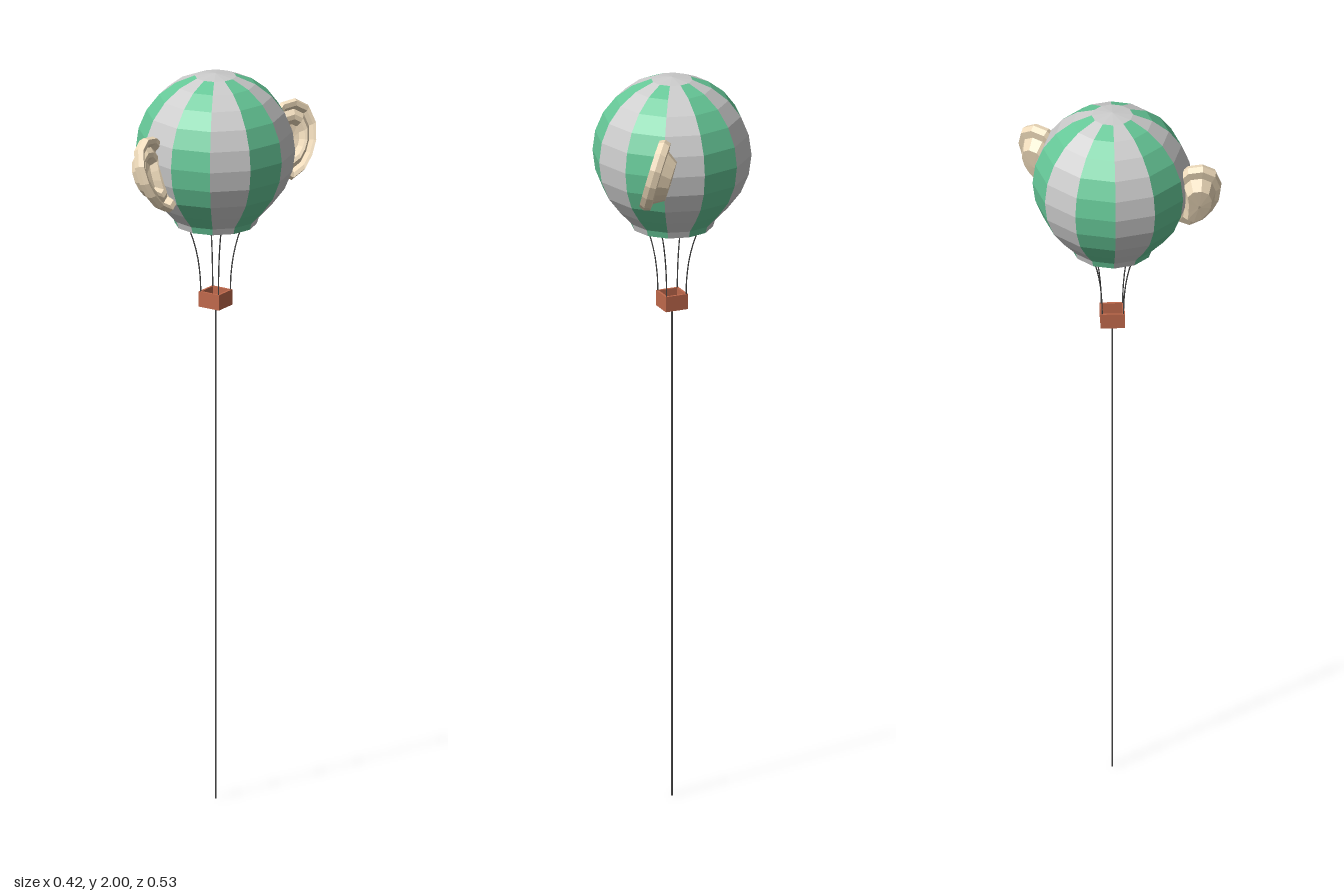
import * as THREE from 'three';
import { mergeGeometries } from 'three/addons/utils/BufferGeometryUtils.js';

const V2 = (x, y) => new THREE.Vector2(x, y);
const material = (color, extra = {}) =>
  new THREE.MeshStandardMaterial({ color, flatShading: true, ...extra });

function addMesh(parent, name, geometry, mat) {
  const mesh = new THREE.Mesh(geometry, mat);
  mesh.name = name;
  parent.add(mesh);
  return mesh;
}

// Ear outline (outward, up), anticlockwise
const EAR = [[0.06, 0.04], [0.045, 0.085], [0.01, 0.106], [-0.03, 0.1], [-0.055, 0.07], [-0.05, 0.02],
  [-0.05, -0.04], [-0.055, -0.09], [-0.025, -0.106], [0.012, -0.085], [0.038, -0.05], [0.055, -0.01]];

// Rings from the back of the ear, over the curled rim, into the hollow: [scale, depth]
const EAR_RINGS = [[0.05, -0.046], [0.55, -0.044], [0.74, -0.016], [0.95, -0.014], [1, 0.002], [0.94, 0.016],
  [0.82, 0.013], [0.74, -0.006], [0.6, 0.003], [0.48, 0.0], [0.36, -0.022], [0.02, -0.026]];

function earGeometry(mirror) {
  const outline = mirror ? EAR.map(([x, y]) => [-x, y]).reverse() : EAR;
  const n = outline.length;
  const positions = [];
  const index = [];
  EAR_RINGS.forEach(([s, depth], r) => {
    outline.forEach(([x, y], i) => {
      positions.push(x * s, y * s, depth);
      if (r === 0) return;
      const j = (i + 1) % n;
      const a = (r - 1) * n + i, b = (r - 1) * n + j, c = r * n + j, d = r * n + i;
      index.push(a, b, c, a, c, d);
    });
  });
  const geometry = new THREE.BufferGeometry();
  geometry.setAttribute('position', new THREE.Float32BufferAttribute(positions, 3));
  geometry.setIndex(index);
  geometry.computeVertexNormals();
  return geometry;
}

export function createModel() {
  const model = new THREE.Group();
  model.name = 'balloonWithEars';
  const balloon = new THREE.Group();
  balloon.name = 'balloon';
  balloon.position.z = -0.025;
  model.add(balloon);

  const grey = material(0xcccccc, { side: THREE.DoubleSide });
  const green = material(0x66c898, { side: THREE.DoubleSide });
  const brown = material(0xc0694c);
  const dark = material(0x444444);
  const skin = material(0xf0dcbc, { side: THREE.DoubleSide });

  // Envelope: twelve striped gores, open at the mouth, with a plain cap
  const R = 0.21, centreY = 1.79;
  const ring = (degrees) => {
    const a = THREE.MathUtils.degToRad(degrees);
    return V2(R * Math.sin(a), centreY + R * Math.cos(a));
  };
  const profile = [V2(0.108, 1.587), V2(0.114, 1.605)];
  for (let d = 135; d >= 15; d -= 15) profile.push(ring(d));
  const stripes = [[], []];
  for (let i = 0; i < 12; i++) {
    stripes[i % 2].push(new THREE.LatheGeometry(profile, 1, (i * Math.PI) / 6, Math.PI / 6));
  }
  addMesh(balloon, 'greenStripes', mergeGeometries(stripes[0]), green);
  addMesh(balloon, 'greyStripes', mergeGeometries(stripes[1]), grey);
  addMesh(balloon, 'topCap', new THREE.LatheGeometry([ring(15), V2(0, 2)], 12), grey);

  // Basket: floor and four walls
  const basket = new THREE.Group();
  basket.name = 'basket';
  basket.position.y = 1.38;
  balloon.add(basket);
  const floor = addMesh(basket, 'basketFloor', new THREE.BoxGeometry(0.062, 0.006, 0.062), brown);
  floor.position.y = -0.017;
  for (let i = 0; i < 4; i++) {
    const side = new THREE.Group();
    side.name = 'basketSide';
    side.rotation.y = (i * Math.PI) / 2;
    basket.add(side);
    addMesh(side, 'basketWall', new THREE.BoxGeometry(0.064, 0.042, 0.006), brown).position.z = 0.029;
  }

  // Ropes flaring from the basket corners into the mouth
  for (const sx of [-1, 1]) {
    for (const sz of [-1, 1]) {
      const points = [[0.028, 1.385], [0.029, 1.44], [0.036, 1.51], [0.052, 1.58], [0.078, 1.635]]
        .map(([r, y]) => new THREE.Vector3(sx * r, y, sz * r));
      const curve = new THREE.CatmullRomCurve3(points);
      addMesh(balloon, 'rope', new THREE.TubeGeometry(curve, 10, 0.0018, 5), dark);
    }
  }

  // Tether down to the ground
  const tether = addMesh(balloon, 'tether', new THREE.CylinderGeometry(0.002, 0.002, 1.362, 6), dark);
  tether.position.y = 0.681;

  // Ears, leaning back and both opening the same way
  const ears = [
    ['frontEar', true, [-0.042, 1.768, 0.2], 90],
    ['backEar', false, [0.132, 1.795, -0.205], 58],
  ];
  for (const [name, mirror, position, yaw] of ears) {
    const ear = addMesh(model, name, earGeometry(mirror), skin);
    ear.position.set(...position);
    ear.rotation.set(-0.28, THREE.MathUtils.degToRad(yaw), 0, 'YXZ');
  }
  return model;
}
